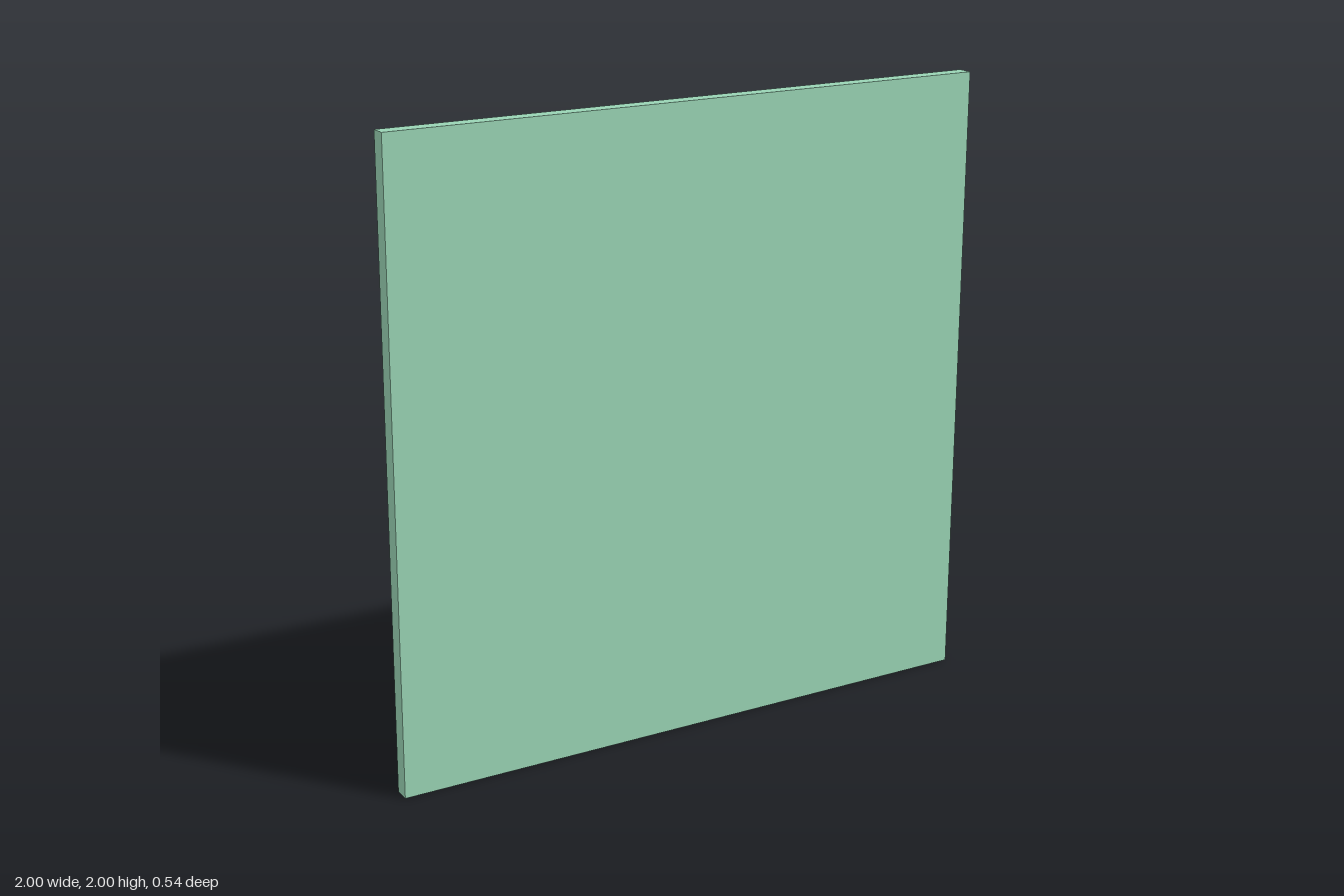
import * as THREE from 'three';

const green = new THREE.MeshStandardMaterial({ color: 0x9ad4b5, flatShading: true });
const blue = new THREE.MeshStandardMaterial({ color: 0x87d5ee, flatShading: true });

// Faceted ball with poles on the y axis and a ten-sided equator
function icoBall(radius) {
  const verts = [0, 1, 0];
  const h = 1 / Math.sqrt(5), r = 2 * h;
  for (let i = 0; i < 5; i++) {
    const a = (i * Math.PI * 2) / 5;
    verts.push(r * Math.cos(a), h, -r * Math.sin(a));
  }
  for (let i = 0; i < 5; i++) {
    const a = ((i + 0.5) * Math.PI * 2) / 5;
    verts.push(r * Math.cos(a), -h, -r * Math.sin(a));
  }
  verts.push(0, -1, 0);
  const faces = [];
  for (let i = 0; i < 5; i++) {
    const j = (i + 1) % 5;
    const u = 1 + i, v = 1 + j, p = 6 + i, q = 6 + j;
    faces.push(0, u, v, u, p, v, v, p, q, p, 11, q);
  }
  return new THREE.PolyhedronGeometry(verts, faces, radius, 1);
}

export function createModel() {
  const model = new THREE.Group();
  const add = (parent, name, geometry, material, x, y, z) => {
    const mesh = new THREE.Mesh(geometry, material);
    mesh.name = name;
    mesh.position.set(x, y, z);
    parent.add(mesh);
  };
  const group = (name) => {
    const g = new THREE.Group();
    g.name = name;
    model.add(g);
    return g;
  };

  // Large upright panel
  add(model, 'panel', new THREE.BoxGeometry(2, 2, 0.05), green, 0, 1, 0.245);

  // Block with a ball bulging out of it
  const ballBlock = group('ballBlock');
  add(ballBlock, 'block', new THREE.BoxGeometry(0.2, 0.2, 0.312), blue, 0.488, 1, 0.064);
  add(ballBlock, 'largeBall', icoBall(0.153), blue, 0.488, 1, 0.05);

  // Drum around a cube, with a small ball behind
  const drumUnit = group('drumUnit');
  add(drumUnit, 'drum', new THREE.CylinderGeometry(0.122, 0.122, 0.31, 10), green, 0, 1, 0.04);
  add(drumUnit, 'cube', new THREE.BoxGeometry(0.208, 0.208, 0.208), blue, 0, 1, 0.076);
  add(drumUnit, 'smallBall', icoBall(0.076), blue, 0, 1, -0.149);

  // Upright slab pierced by a tapered eight-sided cone
  const coneSlab = group('coneSlab');
  add(coneSlab, 'slab', new THREE.BoxGeometry(0.076, 0.62, 0.49), blue, -0.472, 0.69, -0.025);
  add(coneSlab, 'taperedCone', new THREE.CylinderGeometry(0.06, 0.178, 0.4, 8), blue, -0.49, 0.6, 0.016);

  return model;
}
